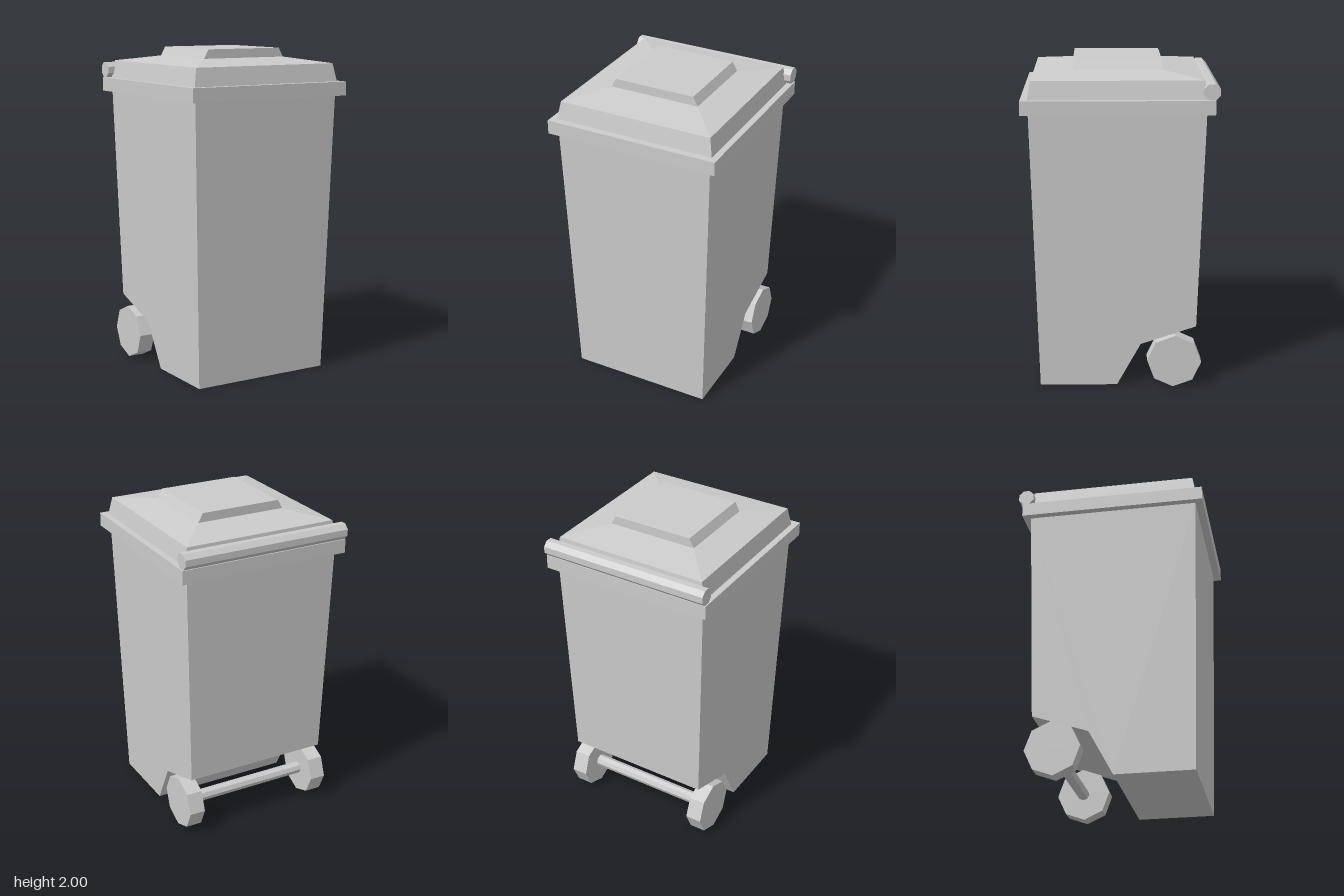
import * as THREE from 'three';

const material = new THREE.MeshStandardMaterial({ color: 0xcccccc, flatShading: true });

function addMesh(group, name, geometry, x = 0, y = 0, z = 0) {
  const mesh = new THREE.Mesh(geometry, material);
  mesh.name = name;
  mesh.position.set(x, y, z);
  group.add(mesh);
  return mesh;
}

// Eight-sided bar lying along x
function bar(radius, length, turn) {
  return new THREE.CylinderGeometry(radius, radius, length, 8)
    .rotateZ(Math.PI / 2).rotateX(turn).toNonIndexed();
}

// Stack of rectangles, each [y, halfWidth, back z, front z], closed at both ends
function rectangleLoft(sections) {
  const positions = [];
  const rings = sections.map(([y, w, back, front]) =>
    [[-w, y, front], [w, y, front], [w, y, back], [-w, y, back]]);
  const quad = (a, b, c, d) => positions.push(...a, ...b, ...c, ...a, ...c, ...d);
  for (let s = 0; s < rings.length - 1; s++) {
    for (let i = 0; i < 4; i++) {
      const j = (i + 1) % 4;
      quad(rings[s][i], rings[s][j], rings[s + 1][j], rings[s + 1][i]);
    }
  }
  quad(...rings[rings.length - 1]);
  quad(...[...rings[0]].reverse());
  const geometry = new THREE.BufferGeometry();
  geometry.setAttribute('position', new THREE.Float32BufferAttribute(positions, 3));
  geometry.computeVertexNormals();
  return geometry;
}

// Side profile with the wheel cutout, widened towards the top
function bodyGeometry() {
  const profile = [[0.49, 0], [0.535, 1.72], [-0.51, 1.72], [-0.47, 0.385], [-0.13, 0.27], [0.015, 0]];
  const shape = new THREE.Shape(profile.map(([z, y]) => new THREE.Vector2(-z, y)));
  const geometry = new THREE.ExtrudeGeometry(shape, { depth: 2, bevelEnabled: false });
  geometry.translate(0, 0, -1).rotateY(Math.PI / 2);
  const p = geometry.attributes.position;
  for (let i = 0; i < p.count; i++) {
    p.setX(i, p.getX(i) * THREE.MathUtils.lerp(0.447, 0.494, p.getY(i) / 1.72));
  }
  geometry.computeVertexNormals();
  return geometry;
}

export function createModel() {
  const model = new THREE.Group();
  model.name = 'wheeledBin';

  addMesh(model, 'body', bodyGeometry(), -0.003);
  addMesh(model, 'rim', new THREE.BoxGeometry(1.08, 0.085, 1.137), 0, 1.758, 0.012);

  // Sloped lid with a raised panel
  addMesh(model, 'lid', rectangleLoft([
    [1.8, 0.502, -0.51, 0.538],
    [1.91, 0.481, -0.497, 0.518],
    [1.945, 0.282, -0.254, 0.274],
    [2.0, 0.252, -0.254, 0.274],
  ]));

  // Rear handle, flat side up
  addMesh(model, 'handle', bar(0.051, 1.07, Math.PI / 8), 0, 1.85, -0.535);

  // Wheels and axle
  const wheels = new THREE.Group();
  wheels.name = 'wheelSet';
  wheels.position.set(-0.007, 0.167, -0.336);
  addMesh(wheels, 'axle', bar(0.038, 0.85, 0));
  for (const side of [-1, 1]) {
    addMesh(wheels, side > 0 ? 'leftWheel' : 'rightWheel', bar(0.167, 0.1, -0.04), side * 0.438);
  }
  model.add(wheels);

  return model;
}
